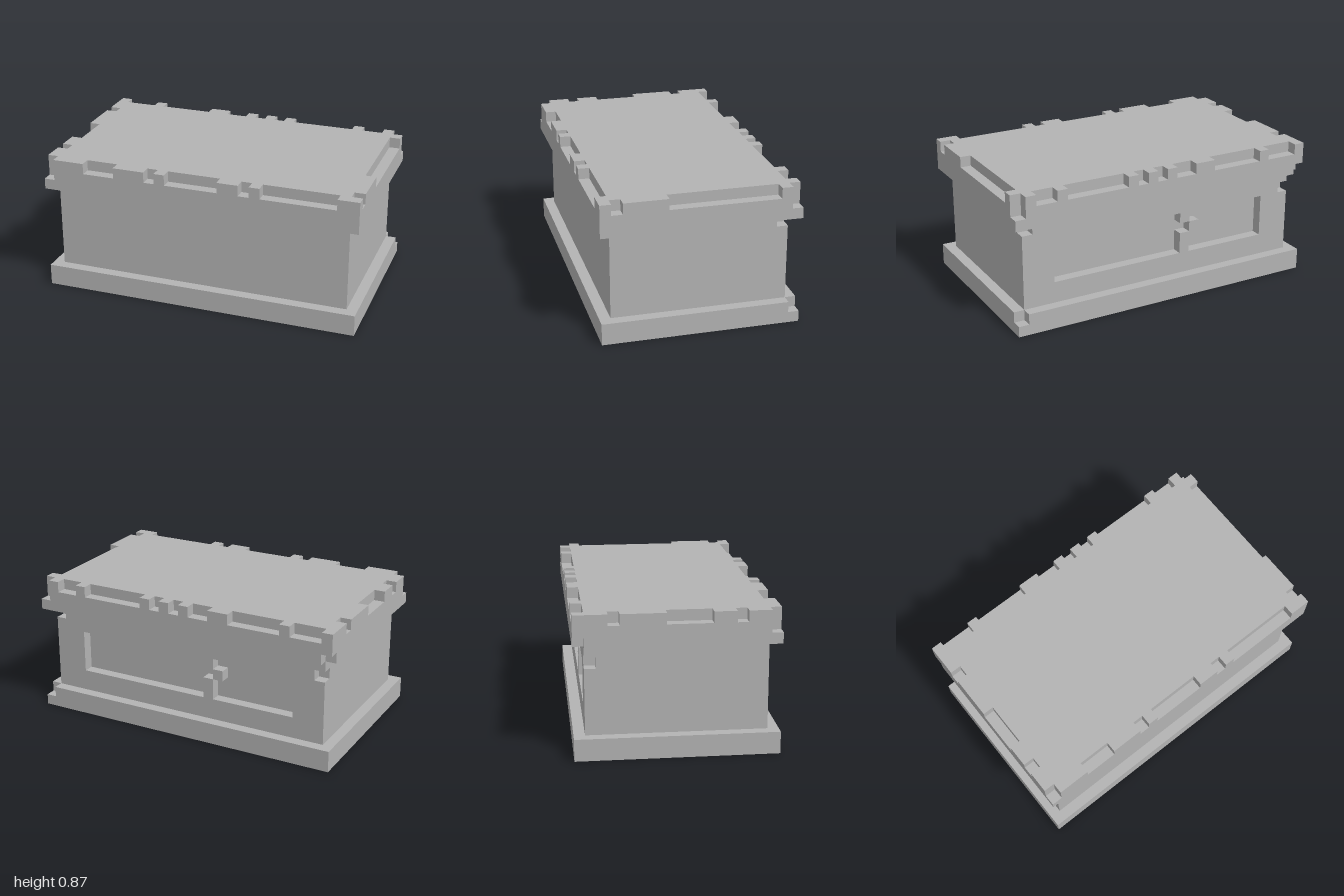
import * as THREE from 'three';

// Block grid: 30 x 13 x 18 cells, centred in x and z
const U = 1 / 15;

// Carved boxes: [x0, x1, y0, y1, z0, z1]
const cuts = [];
const cut = (...b) => cuts.push(b);

// Rim notches of the lid, as ranges along each edge
for (const [a, b] of [[-11, -8], [-5, -4], [-3, 2], [4, 5], [6, 13]]) cut(a, b, 12, 13, 8, 9);
for (const [a, b] of [[-14, -11], [-10, -5], [-3, -1], [0, 1], [2, 3], [4, 10], [11, 13]]) cut(a, b, 12, 13, -9, -8);
for (const [a, b] of [[-7, 3], [7, 8]]) cut(14, 15, 12, 13, a, b);
for (const [a, b] of [[-6, -5], [-1, 3], [5, 6]]) cut(-15, -14, 12, 13, a, b);

// Corner notches of lid, body and base
cut(-15, -14, 11, 13, 8, 9);
cut(14, 15, 11, 13, -9, -8);
cut(-15, -14, 10, 11, -9, -8);
cut(13, 14, 9, 10, -8, -7);
cut(-14, -13, 8, 9, -8, -7);
cut(14, 15, 1, 2, -9, -8);

// Recessed back panels, with a gap in the post between them
cut(-2, 11, 4, 8, -8, -7);
cut(-11, -4, 4, 8, -8, -7);
cut(-4, -3, 4, 6, -8, -7);
cut(-4, -3, 7, 8, -8, -7);
cut(-3, -2, 6, 7, -8, -7);

const inside = (b, x, y, z) =>
  x >= b[0] && x < b[1] && y >= b[2] && y < b[3] && z >= b[4] && z < b[5];

const blocks = {
  base: [-15, 15, 0, 2, -9, 9],
  body: [-14, 14, 2, 10, -8, 8],
  lid: [-15, 15, 10, 13, -9, 9],
};

const solid = (x, y, z) =>
  Object.values(blocks).some((b) => inside(b, x, y, z)) && !cuts.some((b) => inside(b, x, y, z));

// Outer skin of one block; the underside at y = 0 stays open
function skin(block) {
  const pos = [];
  const face = (cell, axis, side) => {
    const u = (axis + 1) % 3, v = (axis + 2) % 3;
    const corner = (i, j) => {
      const p = [...cell];
      p[axis] += side;
      p[u] += i;
      p[v] += j;
      return p.map((c) => c * U);
    };
    const q = [corner(0, 0), corner(1, 0), corner(1, 1), corner(0, 1)];
    if (!side) q.reverse();
    for (const k of [0, 1, 2, 0, 2, 3]) pos.push(...q[k]);
  };
  const [x0, x1, y0, y1, z0, z1] = block;
  for (let x = x0; x < x1; x++)
    for (let y = y0; y < y1; y++)
      for (let z = z0; z < z1; z++) {
        if (!solid(x, y, z)) continue;
        for (let axis = 0; axis < 3; axis++)
          for (const side of [0, 1]) {
            const n = [x, y, z];
            n[axis] += side ? 1 : -1;
            if (n[1] >= 0 && !solid(...n)) face([x, y, z], axis, side);
          }
      }
  const geo = new THREE.BufferGeometry();
  geo.setAttribute('position', new THREE.Float32BufferAttribute(pos, 3));
  geo.computeVertexNormals();
  return geo;
}

export function createModel() {
  const grey = new THREE.MeshStandardMaterial({ color: 0xb3b3b3, side: THREE.DoubleSide });
  grey.name = 'grey';
  const model = new THREE.Group();
  model.name = 'notchedChest';
  for (const [name, block] of Object.entries(blocks)) {
    const mesh = new THREE.Mesh(skin(block), grey);
    mesh.name = name;
    model.add(mesh);
  }
  return model;
}
